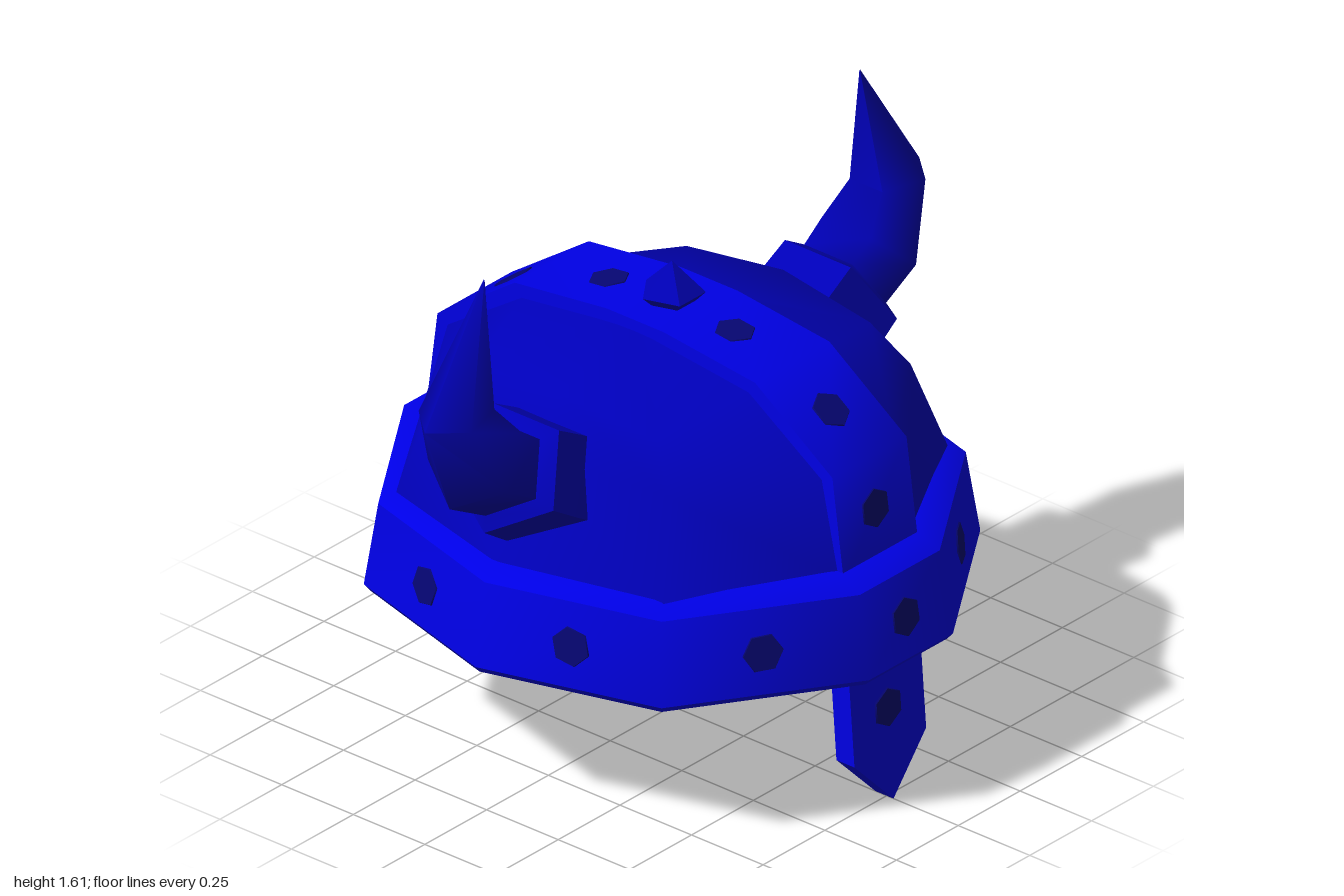
import * as THREE from 'three';
import { toCreasedNormals } from 'three/addons/utils/BufferGeometryUtils.js';

const blue = new THREE.MeshStandardMaterial({ name: 'bright blue', color: 0x0000e6 });
const domeBlue = new THREE.MeshStandardMaterial({ name: 'dome blue', color: 0x0000b8 });
const hornBlue = new THREE.MeshStandardMaterial({ name: 'horn blue', color: 0x0000b0 });
const navy = new THREE.MeshStandardMaterial({ name: 'navy rivet', color: 0x060674 });
const dark = new THREE.MeshStandardMaterial({ name: 'dark lining', color: 0x00000c });

// Skin a list of cross-sections, optionally open, mirrored or turned inside out
function loft(rings, { closed = true, crease = 0.75, mirror = false, inside = false } = {}) {
  const n = rings[0].length, pos = [], idx = [];
  rings.forEach(r => r.forEach(([x, y, z]) => pos.push(mirror ? -x : x, y, z)));
  const flip = mirror !== inside;
  for (let j = 0; j < rings.length - 1; j++) {
    for (let i = 0; i < (closed ? n : n - 1); i++) {
      const a = j * n + i, b = j * n + (i + 1) % n, c = a + n, d = b + n;
      if (flip) idx.push(a, b, c, b, d, c);
      else idx.push(a, c, b, b, c, d);
    }
  }
  const g = new THREE.BufferGeometry();
  g.setAttribute('position', new THREE.Float32BufferAttribute(pos, 3));
  g.setIndex(idx);
  return toCreasedNormals(g, crease);
}

// Ten-sided oval outline of the helmet, scaled by f at height y
const quarter = [[0.795, 0], [0.645, 0.52], [0.17, 0.835]];
function oval(f, y) {
  const [a, b, c] = quarter;
  return [a, b, c, [-c[0], c[1]], [-b[0], b[1]], [-a[0], 0], [-b[0], -b[1]],
    [-c[0], -c[1]], [c[0], -c[1]], [b[0], -b[1]]].map(([x, z]) => [x * f, y, z * f]);
}

// Five-sided horn section between a lower (outer) and an upper (inner) point, with a width factor
function pentagon([lx, ly, ux, uy, width]) {
  const dx = ux - lx, dy = uy - ly, w = Math.hypot(dx, dy), R = w / 1.809;
  return [0, 1, 2, 3, 4].map(k => {
    const a = k * Math.PI * 0.4, s = R * (1 - Math.cos(a)) / w;
    return [lx + dx * s, ly + dy * s, R * Math.sin(a) * width];
  });
}

export function createModel() {
  const model = new THREE.Group();
  model.name = 'hornedHelmet';
  const add = (name, geometry, material = blue) => {
    const m = new THREE.Mesh(geometry, material);
    m.name = name;
    model.add(m);
    return m;
  };
  // Nearly flush six-sided rivet
  const rivet = (p, normal) => {
    const m = add('rivet', new THREE.CylinderGeometry(0.055, 0.059, 0.008, 6), navy);
    m.position.copy(p);
    m.quaternion.setFromUnitVectors(new THREE.Vector3(0, 1, 0), normal.clone().normalize());
  };

  // Brow band with bevelled edges, and a rivet on each side
  const low = oval(1, 0.45), high = oval(0.953, 0.69);
  add('browBand', loft([oval(0.82, 0.43), oval(0.98, 0.43), low, high, oval(0.875, 0.725),
    oval(0.82, 0.727)]));
  for (let i = 0; i < 10; i++) {
    const v = p => new THREE.Vector3(...p), j = (i + 1) % 10;
    const bottom = v(low[i]).add(v(low[j])).multiplyScalar(0.5);
    const top = v(high[i]).add(v(high[j])).multiplyScalar(0.5);
    const normal = top.clone().sub(bottom).cross(v(low[j]).sub(v(low[i])));
    rivet(bottom.lerp(top, 0.48), normal);
  }

  // Dome halves: [centre x,y | shoulder x,y,z | edge by the strip y,z]
  const rows = [
    [0.71, 0.7, 0.58, 0.7, 0.47, 0.7, 0.72],
    [0.545, 0.99, 0.485, 0.98, 0.415, 0.98, 0.66],
    [0.45, 1.13, 0.43, 1.095, 0.32, 1.155, 0.4],
    [0.15, 1.195, 0.15, 1.193, 0.06, 1.19, 0.12],
  ].map(([cx, cy, sx, sy, sz, ey, ez]) => [
    [0.14, ey, -ez], [sx, sy, -sz], [cx, cy, 0], [sx, sy, sz], [0.14, ey, ez]]);
  for (const mirror of [false, true])
    add(mirror ? 'rightDome' : 'leftDome', loft(rows, { closed: false, crease: 3, mirror }), domeBlue);

  // Lining just under the dome, from the rim to the crown
  const fullRing = (row, f, toY) => [...row, ...row.map(([x, y, z]) => [-x, y, z]).reverse()]
    .map(([x, y, z]) => [x * f, toY(y), z * f]);
  add('lining', loft([fullRing(rows[0], 0.94, () => 0.43),
    ...rows.map(r => fullRing(r, 0.95, y => y - 0.03)),
    fullRing(rows[3], 0.01, () => 1.165)], { inside: true, crease: 3 }), dark);

  // Raised strip running over the crown from front to back
  const outer = [[0.73, 0.7], [0.69, 1.0], [0.42, 1.19], [0.1, 1.228]];
  const inner = [[0.7, 0.7], [0.645, 0.975], [0.4, 1.15], [0.1, 1.185]];
  const bothSides = list => [...list, ...list.map(([z, y]) => [-z, y]).reverse()];
  const stripShape = new THREE.Shape([...bothSides(outer), ...bothSides(inner).reverse()]
    .map(p => new THREE.Vector2(...p)));
  const strip = new THREE.ExtrudeGeometry(stripShape, { depth: 0.3, bevelEnabled: false });
  strip.translate(0, 0, -0.15).rotateY(-Math.PI / 2);
  add('crownStrip', toCreasedNormals(strip, 0.9));
  for (const s of [1, -1]) {
    rivet(new THREE.Vector3(0, 0.855, 0.709 * s), new THREE.Vector3(0, 0.04, 0.3 * s));
    rivet(new THREE.Vector3(0, 1.095, 0.555 * s), new THREE.Vector3(0, 0.27, 0.19 * s));
    rivet(new THREE.Vector3(0, 1.213, 0.22 * s), new THREE.Vector3(0, 0.32, 0.038 * s));
  }

  // Five-sided stud on top
  const stud = new THREE.LatheGeometry([[0.06, 1.225], [0.09, 1.255], [0.0005, 1.345]]
    .map(p => new THREE.Vector2(...p)), 5, Math.PI).toNonIndexed();
  stud.computeVertexNormals();
  add('crownStud', stud, domeBlue);

  // Nose guard, leaning forward towards its tip
  const guardShape = new THREE.Shape([[-0.145, 0.435], [-0.145, 0.15], [0, 0], [0.145, 0.15], [0.145, 0.435]]
    .map(p => new THREE.Vector2(...p)));
  const guard = new THREE.ExtrudeGeometry(guardShape, { depth: 0.063, bevelEnabled: false });
  guard.applyMatrix4(new THREE.Matrix4().set(1, 0, 0, 0, 0, 1, 0, 0, 0, -0.075, 1, 0.711, 0, 0, 0, 1));
  add('noseGuard', guard);
  rivet(new THREE.Vector3(0, 0.27, 0.754), new THREE.Vector3(0, 0.075, 1));

  // Horns with collars, mirrored
  const collar = [[0.62, 0.75, 0.45, 1.04, 1.08], [0.67, 0.78, 0.5, 1.07, 1.08],
    [0.76, 0.84, 0.59, 1.12, 1.08], [0.755, 0.89, 0.632, 1.1, 1.08]].map(pentagon);
  const horn = [[0.755, 0.89, 0.632, 1.1, 1.06], [0.9, 0.97, 0.705, 1.15, 1],
    [1, 1.24, 0.785, 1.245, 0.82], [0.761, 1.605, 0.759, 1.605, 1]].map(pentagon);
  for (const mirror of [false, true]) {
    const side = mirror ? 'right' : 'left';
    add(side + 'HornCollar', loft(collar, { mirror }), domeBlue);
    add(side + 'Horn', loft(horn, { mirror, crease: 1.3 }), hornBlue);
  }
  return model;
}
